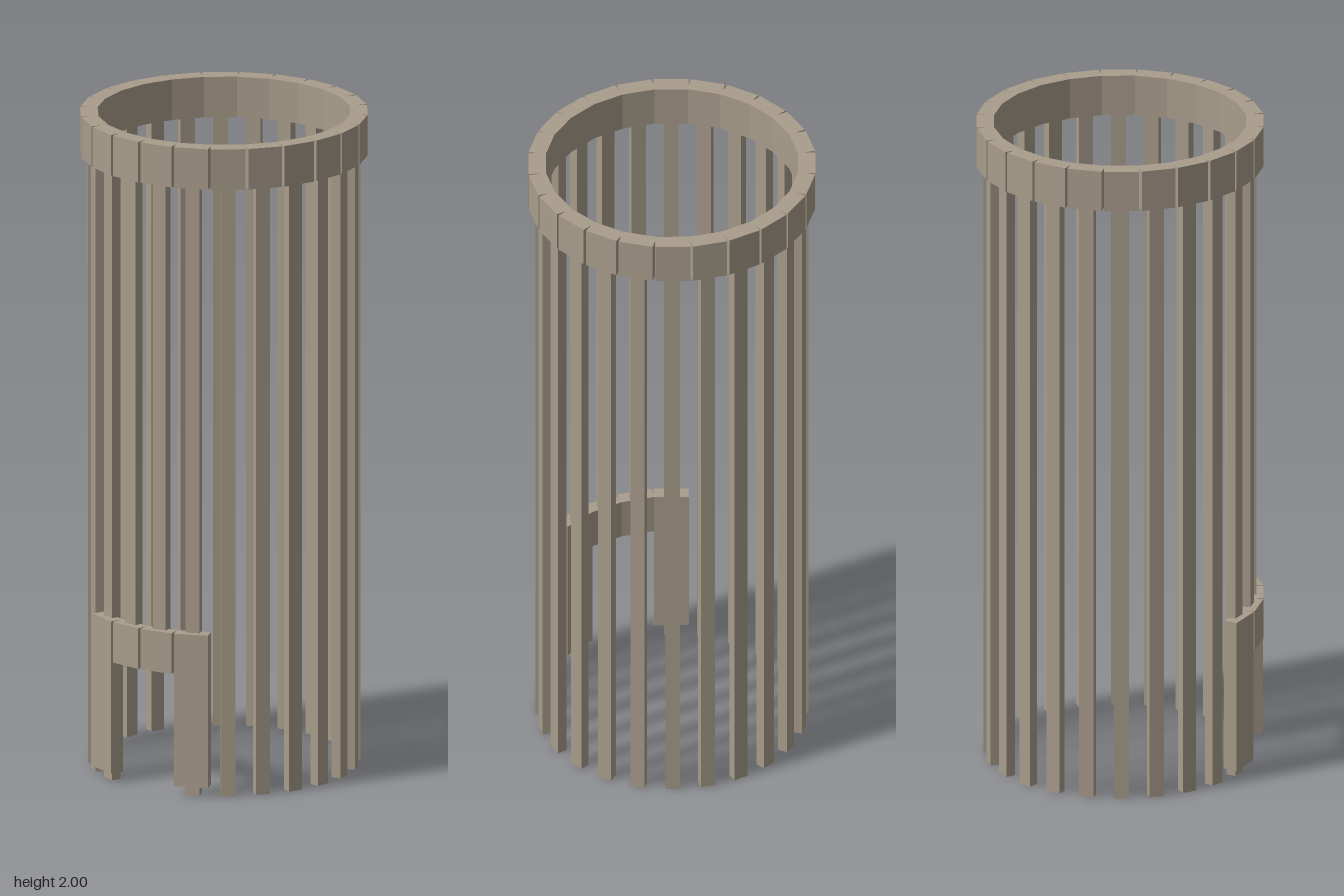
import * as THREE from 'three';

const COUNT = 24;
const STEP = (Math.PI * 2) / COUNT;
const OFFSET = THREE.MathUtils.degToRad(6.2); // angle of the first slat, measured from +z

export function createModel() {
  const model = new THREE.Group();
  const material = new THREE.MeshStandardMaterial({ color: 0xa99d8c, flatShading: true });

  // A box standing on the circle at slot i, between two radii and two heights
  function block(parent, name, i, width, r0, r1, y0, y1) {
    const mesh = new THREE.Mesh(new THREE.BoxGeometry(width, y1 - y0, r1 - r0), material);
    const angle = OFFSET + i * STEP;
    const r = (r0 + r1) / 2;
    mesh.position.set(r * Math.sin(angle), (y0 + y1) / 2, r * Math.cos(angle));
    mesh.rotation.y = angle;
    mesh.name = name;
    parent.add(mesh);
  }

  function group(name) {
    const g = new THREE.Group();
    g.name = name;
    model.add(g);
    return g;
  }

  const slats = group('slats');
  const topRing = group('topRing');
  const doorway = group('doorway');

  // Upright slats and top ring; the two slats above the doorway stop at its lintel
  for (let i = 0; i < COUNT; i++) {
    const aboveDoor = i === 0 || i === COUNT - 1;
    block(slats, 'slat', i, 0.044, 0.375, 0.405, aboveDoor ? 0.38 : 0, 1.9);
    block(topRing, 'ringSegment', i, 0.104, 0.374, 0.426, 1.875, 2);
  }

  // Doorway: two lintel pieces between two posts
  for (const i of [-1, 0]) block(doorway, 'lintel', i, 0.104, 0.384, 0.426, 0.375, 0.5);
  for (const i of [-2, 1]) block(doorway, 'doorPost', i, 0.104, 0.384, 0.426, 0.03, 0.5);

  return model;
}
